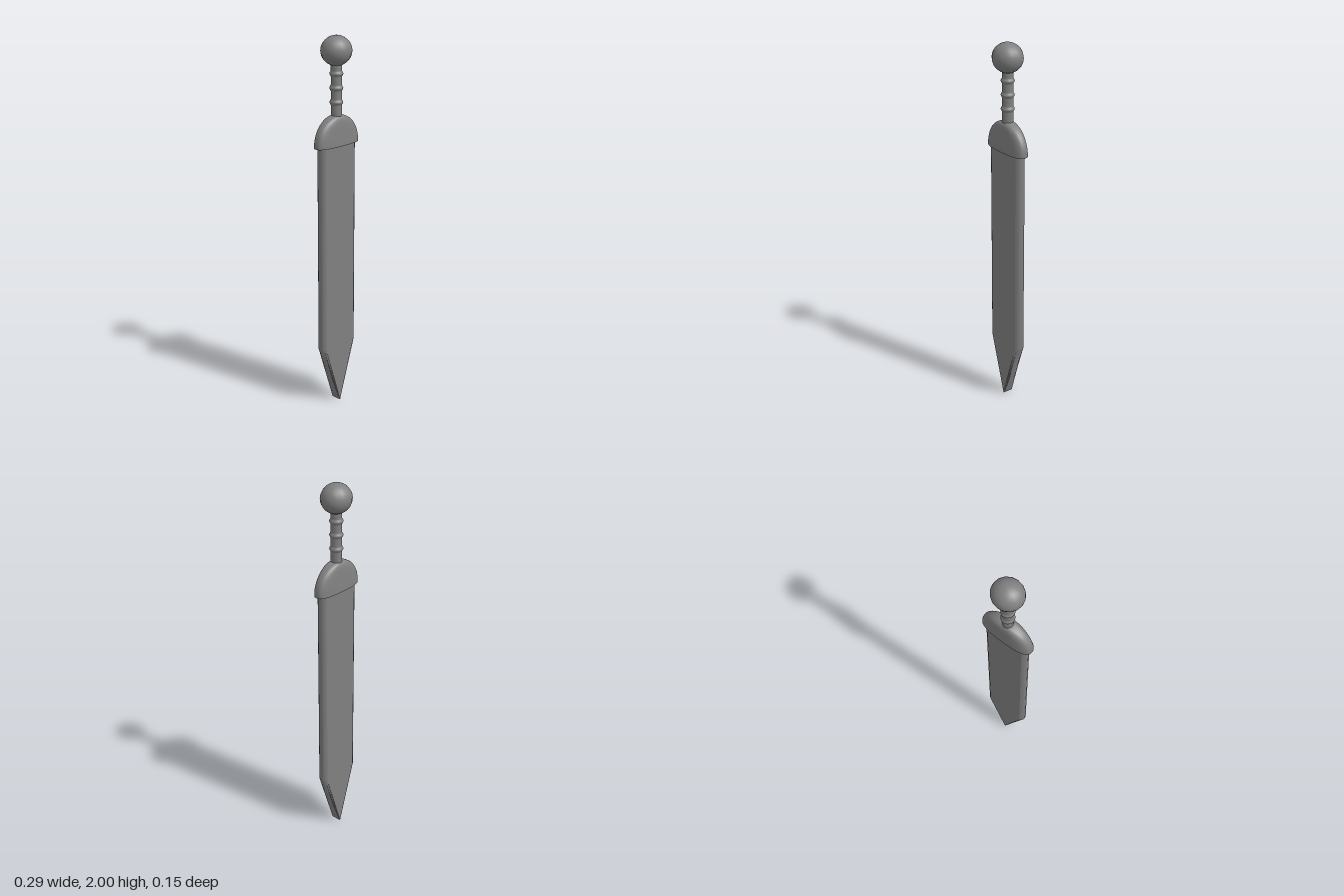
import * as THREE from 'three';
import { toCreasedNormals } from 'three/addons/utils/BufferGeometryUtils.js';

const material = () => new THREE.MeshStandardMaterial({ color: 0x808080 });

// Skin between horizontal rings of [x, z] points, listed from bottom to top, closed at both ends
function loft(rings) {
  const n = rings[0].points.length, pos = [], idx = [];
  for (const r of rings) for (const [x, z] of r.points) pos.push(x, r.y, z);
  for (let j = 0; j < rings.length - 1; j++) {
    for (let k = 0; k < n; k++) {
      const a = j * n + k, b = j * n + (k + 1) % n;
      idx.push(a, a + n, b, b, a + n, b + n);
    }
  }
  const cap = (r, up) => {
    const c = pos.length / 3;
    pos.push(0, r.y, 0);
    for (const [x, z] of r.points) pos.push(x, r.y, z);
    for (let k = 0; k < n; k++) {
      const a = c + 1 + k, b = c + 1 + (k + 1) % n;
      if (up) idx.push(c, b, a); else idx.push(c, a, b);
    }
  };
  cap(rings[0], false);
  cap(rings[rings.length - 1], true);
  const g = new THREE.BufferGeometry();
  g.setAttribute('position', new THREE.Float32BufferAttribute(pos, 3));
  g.setIndex(idx);
  g.computeVertexNormals();
  return g;
}

// Blade section: flat faces with rounded edges
function bladeSection(width) {
  const radius = 0.0296, sweep = 1.24, steps = 6, points = [];
  for (const side of [1, -1]) {
    for (let i = 0; i <= steps; i++) {
      const a = sweep * (2 * i / steps - 1);
      const x = 0.0949 + radius * Math.cos(a), z = radius * Math.sin(a);
      points.push([side * width * x, side * z]);
    }
  }
  return points;
}

export function createModel() {
  const group = new THREE.Group();
  const add = (name, geometry, y = 0) => {
    const mesh = new THREE.Mesh(geometry, material());
    mesh.name = name;
    mesh.position.y = y;
    group.add(mesh);
    return mesh;
  };

  // Blade narrowing to an upright chisel tip
  const blade = loft([
    { y: 0.002, points: bladeSection(0.002) },
    { y: 0.335, points: bladeSection(1) },
    { y: 1.47, points: bladeSection(1) },
  ]);
  add('blade', toCreasedNormals(blade, 0.48));

  // Guard: short skirt below a half dome, flattened front to back
  const levels = 16, sides = 40;
  const guardRing = (y, t) => {
    const w = 0.147 * Math.sqrt(1 - t * t);
    const d = 0.047 * (1 - 0.2 * t) * (1 - t ** 8) ** 0.25;
    const points = [];
    for (let k = 0; k < sides; k++) {
      const a = (k / sides) * Math.PI * 2, c = Math.cos(a), s = Math.sin(a);
      points.push([w * Math.sign(c) * Math.abs(c) ** 0.75, d * Math.sign(s) * Math.abs(s) ** 0.75]);
    }
    return { y, points };
  };
  const rings = [guardRing(1.447, 0)];
  for (let j = 0; j <= levels; j++) {
    const t = Math.sin((j / levels) * Math.PI / 2 * 0.98);
    rings.push(guardRing(1.458 + 0.144 * t, t));
  }
  add('guard', loft(rings));

  // Grip with three soft raised bands
  const profile = [new THREE.Vector2(0.028, 1.57)];
  for (const y of [1.666, 1.738, 1.81]) {
    for (let i = -4; i <= 4; i++) {
      const bulge = 0.0035 * (1 + Math.cos(i / 4 * Math.PI));
      profile.push(new THREE.Vector2(0.028 + bulge, y + i * 0.004));
    }
  }
  profile.push(new THREE.Vector2(0.028, 1.87));
  add('grip', new THREE.LatheGeometry(profile, 20));

  // Round pommel
  add('pommel', new THREE.SphereGeometry(1, 16, 16), 1.924).scale.set(0.082, 0.076, 0.077);

  return group;
}
